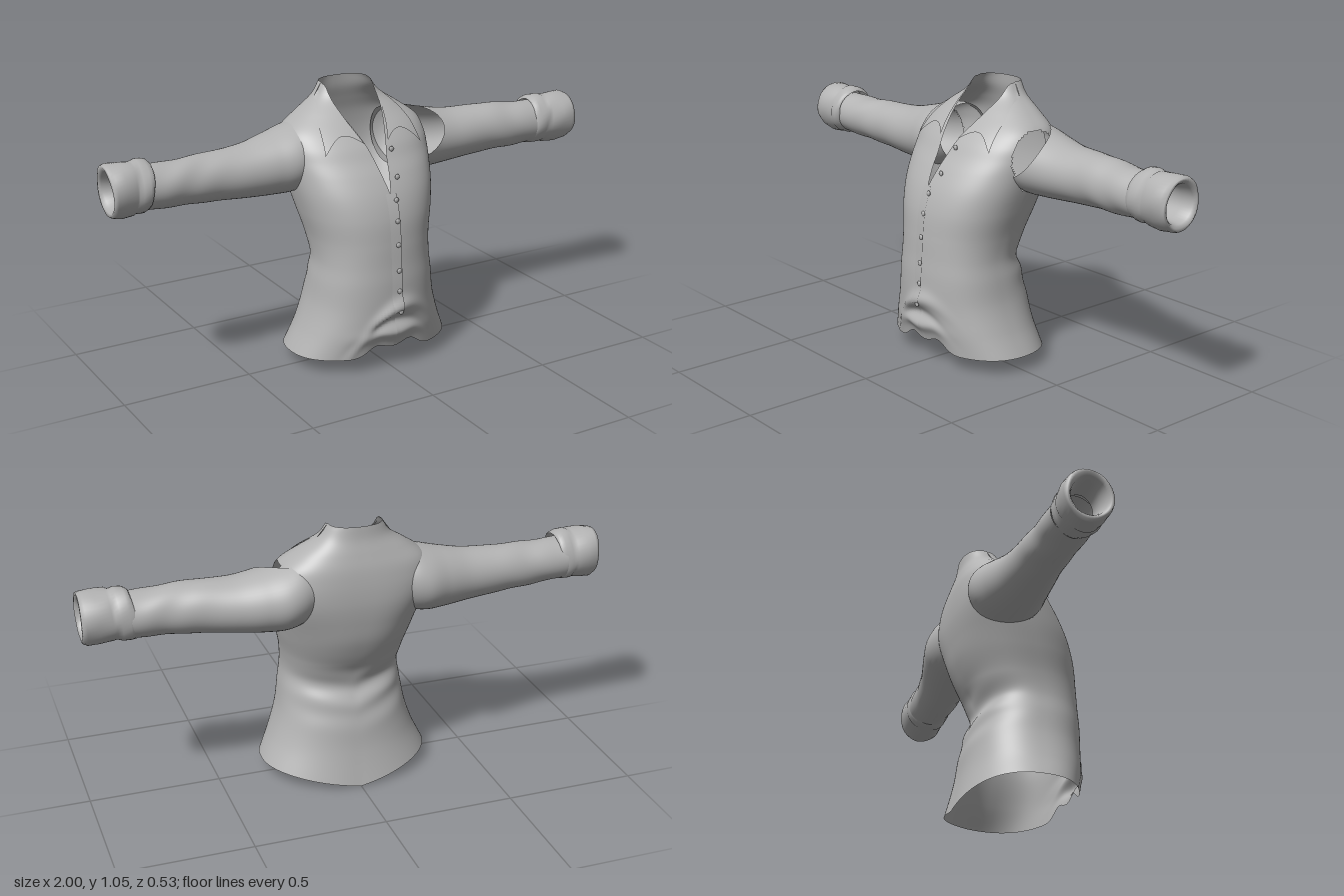
import * as THREE from 'three';

// Smooth lookup through rows of [position, ...values]
function profile(rows) {
  const size = rows[0].length - 1;
  const curve = new THREE.CubicInterpolant(
    new Float32Array(rows.map(r => r[0])),
    new Float32Array(rows.flatMap(r => r.slice(1))), size, new Float32Array(size));
  return t => Array.from(curve.evaluate(t));
}

// Sheet of (nu x nv) quads from a point rule; skip(centre) cuts quads out
function sheet(nu, nv, point, closed = false, skip = null) {
  const cols = closed ? nu : nu + 1, pos = [], index = [];
  for (let j = 0; j <= nv; j++)
    for (let i = 0; i < cols; i++) pos.push(...point(i / nu, j / nv));
  const at = k => new THREE.Vector3().fromArray(pos, k * 3);
  for (let j = 0; j < nv; j++) for (let i = 0; i < nu; i++) {
    const a = j * cols + i, b = j * cols + (i + 1) % cols, c = b + cols, d = a + cols;
    if (skip && skip(at(a).add(at(c)).multiplyScalar(0.5))) continue;
    index.push(a, b, d, b, c, d);
  }
  const g = new THREE.BufferGeometry();
  g.setAttribute('position', new THREE.Float32BufferAttribute(pos, 3));
  g.setIndex(index);
  g.computeVertexNormals();
  return g;
}

const bump = (t, c, w) => Math.exp(-(((t - c) / w) ** 2));

// Superellipse exponents of the torso: the shoulder blades are squarer than the front
const FRONT = 2.3;
const backPower = y => FRONT + 1.0 * bump(y, 0.81, 0.13);

// Torso: height, half width, front z, back z, half width of the neck opening
const torsoAt = profile([
  [0.06, 0.327, 0.222, -0.21, 0], [0.15, 0.285, 0.24, -0.197, 0],
  [0.25, 0.252, 0.247, -0.187, 0], [0.35, 0.236, 0.247, -0.162, 0],
  [0.42, 0.226, 0.242, -0.148, 0], [0.5, 0.232, 0.237, -0.185, 0],
  [0.6, 0.255, 0.225, -0.226, 0], [0.68, 0.272, 0.2, -0.243, 0],
  [0.75, 0.283, 0.163, -0.252, 0.015], [0.8, 0.29, 0.128, -0.253, 0.026],
  [0.85, 0.29, 0.095, -0.25, 0.041], [0.9, 0.272, 0.05, -0.243, 0.062],
  [0.95, 0.207, -0.003, -0.23, 0.085], [1.0, 0.135, -0.055, -0.216, 0.1],
  [1.05, 0.1, -0.075, -0.21, 0.1]]);

// Cloth folds on the belly and across the back of the waist
const bellyFold = (x, y) => bump(x, -0.02, 0.12) * (0.02 * bump(y, 0.26 - (x - 0.04) ** 2 * 4, 0.03)
  - 0.013 * bump(y, 0.2 - x * x * 3, 0.025) + 0.014 * bump(y, 0.14, 0.03));
const waistFold = (x, y) => 0.006 * bump(y, 0.38, 0.1) * Math.sin(55 * y - 14 * Math.abs(x) + 5 * x);

function frontZ(x, y) {
  const [hw, zf, zb] = torsoAt(y);
  const k = Math.max(0, 1 - Math.min(1, Math.abs(x) / hw) ** FRONT) ** (1 / FRONT);
  return (zf + zb) / 2 + (zf - zb) / 2 * k + bellyFold(x, y);
}

function torsoPoint(u, v) {
  const y = 0.06 + 0.99 * v;
  const [hw, zf, zb, gap] = torsoAt(y);
  const start = y < 0.69 ? 0 : Math.asin(Math.min(1, Math.max(0, gap / hw) ** (FRONT / 2)));
  const a = start + u * (2 * Math.PI - 2 * start), s = Math.sin(a), c = Math.cos(a);
  const n = c > 0 ? FRONT : backPower(y);
  const x = hw * Math.sign(s) * Math.abs(s) ** (2 / n);
  let z = (zf + zb) / 2 + (zf - zb) / 2 * Math.sign(c) * Math.abs(c) ** (2 / n);
  z += c > 0 ? bellyFold(x, y) * c : waistFold(x, y) * -c;
  // Hem dips to a point at the back and lifts in waves at the front
  const fall = Math.max(0, 1 - (y - 0.06) / 0.2) ** 2;
  const hem = c < 0 ? -0.06 * (1 - Math.abs(x) / hw) * -c
    : 0.04 * c * (bump(x, -0.07, 0.05) + bump(x, 0.08, 0.05)) + 0.02 * bump(x, 0.01, 0.06);
  if (c < 0) z -= 0.022 * fall * c * c;
  return [x, y + hem * fall, z];
}
const armhole = p => Math.abs(p.x) > 0.2 &&
  ((p.z + 0.085) / 0.108) ** 2 + ((p.y - 0.79) / 0.112) ** 2 < 1;

// Sleeve: distance along the arm, top y, bottom y, back z, front z
const sleeveAt = profile([
  [0.17, 0.925, 0.7, -0.23, 0.003], [0.22, 0.926, 0.675, -0.25, 0.02],
  [0.27, 0.914, 0.664, -0.255, 0.03],
  [0.35, 0.893, 0.664, -0.233, 0.018], [0.45, 0.871, 0.67, -0.206, 0.005],
  [0.6, 0.861, 0.681, -0.186, -0.008], [0.75, 0.856, 0.69, -0.175, -0.003],
  [0.87, 0.858, 0.698, -0.17, 0.0]]);
// Rolled cuff, out along the arm and back into the opening: x, scale
const cuffSteps = [[0.84, 0.95], [0.845, 1.04], [0.86, 1.1], [0.885, 1.1], [0.9, 1.04], [0.91, 1.09],
  [0.95, 1.13], [0.985, 1.11], [0.998, 1.04], [1.0, 0.92], [0.99, 0.8], [0.95, 0.71], [0.88, 0.7]];

function sleevePoint(side, u, v) {
  const a = -side * u * 2 * Math.PI, c = Math.cos(a), s = Math.sin(a);
  let x = 0.17 + 0.69 * v;
  if (side > 0) { // open shoulder seam on the upper front of the left sleeve
    const away = Math.acos(Math.cos(a - 0.75));
    x = Math.max(x, 0.17 + 0.2 * Math.max(0, 1 - (away / 1.35) ** 2) ** 0.6);
  }
  let [t, b, zb, zf] = sleeveAt(x);
  if (side > 0) { // the left sleeve hangs a little fuller
    t += 0.018 * bump(x, 0.62, 0.2);
    b += 0.006 * bump(x, 0.6, 0.2);
    zb -= 0.02 * bump(x, 0.42, 0.16);
    zf += 0.008 * bump(x, 0.65, 0.15);
  }
  const w = 1 + 0.02 * bump(x, 0.72, 0.14) * Math.sin(38 * x + 2 * s + side * c * 3);
  return [side * x, (t + b) / 2 + (t - b) / 2 * s * w, (zb + zf) / 2 + (zf - zb) / 2 * c * w];
}

function cuffPoint(side, u, v) {
  const a = -side * u * 2 * Math.PI, k = v * (cuffSteps.length - 1);
  const [x0, r] = cuffSteps[Math.round(k)];
  const wave = 1 + 0.025 * Math.sin(3 * a + k) + 0.015 * Math.sin(5 * a - 2 * k);
  // Rolls sit slightly askew; the left one starts further up the arm
  const along = side > 0 ? 1 - (1 - x0) * 1.2 : x0 - 0.012 * (1 - Math.sin(a)) * v;
  const x = Math.min(1, along + 0.012 * Math.sin(a) * side * (1 - v));
  const drift = side > 0 ? 0.06 * (x - 0.92) : 0;
  return [side * x, 0.787 + 0.089 * r * wave * Math.sin(a), -0.079 + drift + 0.082 * r * wave * Math.cos(a)];
}

// Folded collar flap lying on the chest: inner and outer edges run downwards
const collarAt = profile([
  [0, 0.1, 1.045, 0.104, 1.046], [0.35, 0.095, 0.985, 0.148, 0.985],
  [0.65, 0.08, 0.93, 0.186, 0.925], [1, 0.05, 0.86, 0.205, 0.83]]);
function collarPoint(side, u, v) {
  const s = side > 0 ? u : 1 - u, t = 1 - v;
  const [xi, yi, xo, yo] = collarAt(t);
  const x = xi + (xo - xi) * s;
  const y = yi + (yo - yi) * s + 0.045 * Math.sin(Math.PI * s) * t ** 3;
  return [side * x, y, frontZ(x, y) + 0.004 + 0.006 * t];
}

export function createModel() {
  const group = new THREE.Group();
  const cloth = new THREE.MeshStandardMaterial({ color: 0xb3b3b3, side: THREE.DoubleSide });
  cloth.name = 'greyCloth';
  const add = (name, geometry) => {
    const mesh = new THREE.Mesh(geometry, cloth);
    mesh.name = name;
    group.add(mesh);
    return mesh;
  };

  add('torso', sheet(160, 120, torsoPoint, false, armhole));

  for (const side of [1, -1]) {
    const label = side > 0 ? 'left' : 'right';
    add(label + 'Sleeve', sheet(48, 60, (u, v) => sleevePoint(side, u, v), true));
    add(label + 'Cuff', sheet(40, cuffSteps.length - 1, (u, v) => cuffPoint(side, u, v), true));
    add(label + 'CollarFlap', sheet(16, 20, (u, v) => collarPoint(side, u, v)));
  }

  // Overlapping button strip down the front
  add('placket', sheet(6, 50, (u, v) => {
    const x = -0.02 + 0.042 * u, y = 0.24 + 0.45 * v;
    return [x, y, frontZ(x, y) + 0.001 + 0.004 * u];
  }));

  // Buttons; the top two sit on the open left edge
  const buttons = [[0.01, 0.24], [0.01, 0.32], [0.01, 0.4], [0.01, 0.5],
    [0.012, 0.59], [0.018, 0.665], [0.045, 0.74], [0.056, 0.83]];
  for (const [x, y] of buttons) {
    const button = add('button', new THREE.SphereGeometry(0.01, 14, 10));
    button.scale.z = 0.5;
    button.position.set(x, y, frontZ(x, y) + 0.004);
  }
  return group;
}
